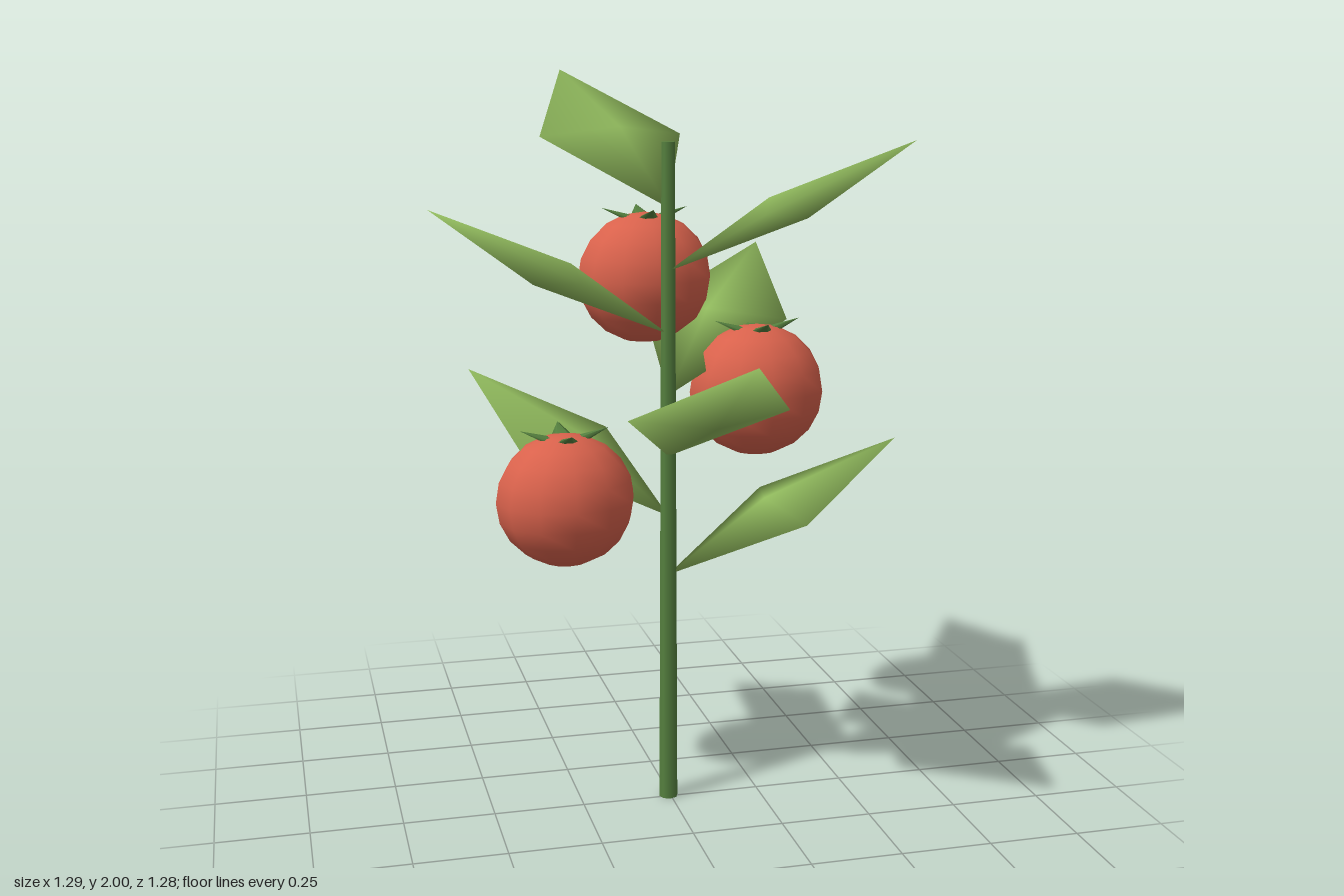
import * as THREE from 'three';

export function createModel() {
  const model = new THREE.Group();
  model.name = 'fruitingPlant';
  const mat = (name, color) => {
    const m = new THREE.MeshStandardMaterial({ color });
    m.name = name;
    return m;
  };
  const stemGreen = mat('stemGreen', 0x55803f);
  const leafGreen = mat('leafGreen', 0x8fb85c);
  const fruitRed = mat('fruitRed', 0xd9624c);
  const add = (parent, name, geo, material) => {
    const m = new THREE.Mesh(geo, material);
    m.name = name;
    parent.add(m);
    return m;
  };

  // everything grows around the stem axis
  const plant = new THREE.Group();
  plant.name = 'plant';
  plant.position.set(-0.006, 0, -0.006);
  model.add(plant);

  // tapered stem
  const stemGeo = new THREE.CylinderGeometry(0.018, 0.026, 1.82, 8);
  stemGeo.translate(0, 0.91, 0);
  add(plant, 'stem', stemGeo, stemGreen);

  // leaf: smooth eight-sided diamond, its thin axis leaning back to the stem
  const leafGeo = new THREE.SphereGeometry(1, 4, 2);
  leafGeo.applyMatrix4(new THREE.Matrix4().makeBasis(
    new THREE.Vector3(0.325, 0.175, 0),
    new THREE.Vector3(-0.052, 0.025, 0),
    new THREE.Vector3(0, 0, 0.217)));
  leafGeo.translate(0.325, 0.175, 0);

  // seven leaves spiralling up by the golden angle
  for (let i = 0; i < 7; i++) {
    const leaf = add(plant, 'leaf', leafGeo, leafGreen);
    leaf.position.y = 0.65 + i * 0.1667;
    leaf.rotation.y = THREE.MathUtils.degToRad(137.5 * i);
  }

  // fruits, each with a crown of four separate pointed sepals
  const fruitGeo = new THREE.SphereGeometry(0.19, 12, 10);
  const sepalGeo = new THREE.ConeGeometry(0.038, 0.1, 6);
  sepalGeo.scale(0.35, 1, 1);
  sepalGeo.rotateZ(-1.2);
  sepalGeo.translate(0.075, 0.185, 0);
  for (const [x, y, z] of [[-0.274, 0.867, -0.05], [0.274, 1.138, -0.095], [0, 1.435, -0.275]]) {
    const fruit = new THREE.Group();
    fruit.name = 'fruit';
    fruit.position.set(x, y, z);
    fruit.scale.set(1, 0.96, 0.89);
    plant.add(fruit);
    add(fruit, 'fruitBody', fruitGeo, fruitRed);
    for (let k = 0; k < 4; k++) {
      add(fruit, 'sepal', sepalGeo, stemGreen).rotation.y = (k * Math.PI) / 2;
    }
  }
  return model;
}
